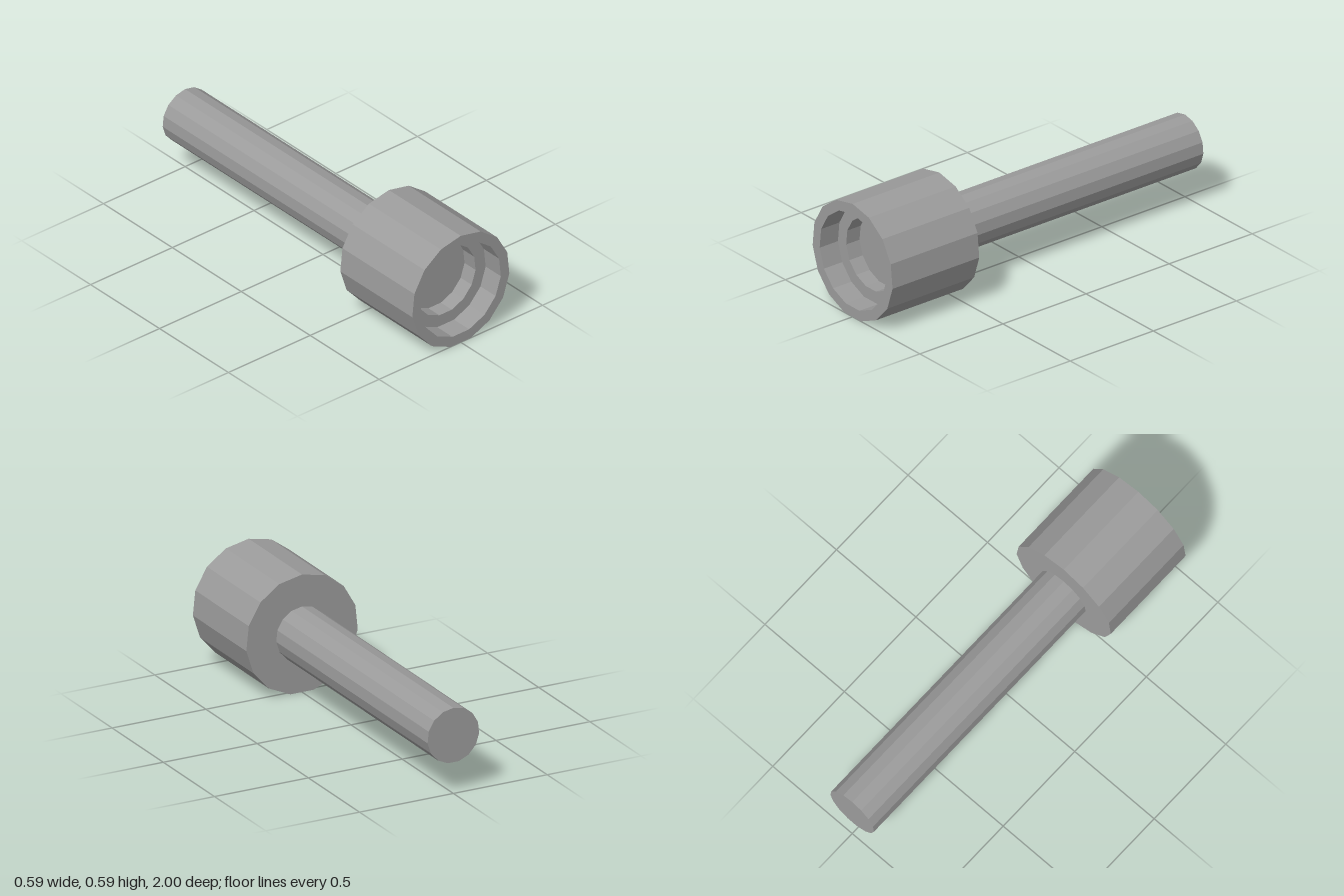
import * as THREE from 'three';

const SIDES = 15;
const AXIS_Y = 0.292;
const material = new THREE.MeshStandardMaterial({ color: 0x9b9b9b, flatShading: true });

// Turned part along z: profile of [radius, z], with one corner pointing straight up
function turned(name, profile) {
  const points = profile.map(([r, z]) => new THREE.Vector2(r, z));
  const geometry = new THREE.LatheGeometry(points, SIDES, Math.PI, Math.PI * 2);
  geometry.rotateX(Math.PI / 2);
  const mesh = new THREE.Mesh(geometry, material);
  mesh.name = name;
  mesh.position.y = AXIS_Y;
  return mesh;
}

export function createModel() {
  const group = new THREE.Group();
  const shaftR = 0.138, shoulder = 0.478;

  // Solid rod, closed at the back and joined to the head's shoulder
  group.add(turned('shaft', [[0, -1], [shaftR, -1], [shaftR, shoulder]]));

  // Wide head with a two-step recess in its front face
  group.add(turned('head', [
    [shaftR, shoulder], [0.2985, shoulder], [0.2985, 1],
    [0.246, 1], [0.246, 0.89],
    [0.184, 0.89], [0.184, 0.81], [0, 0.81],
  ]));

  return group;
}
